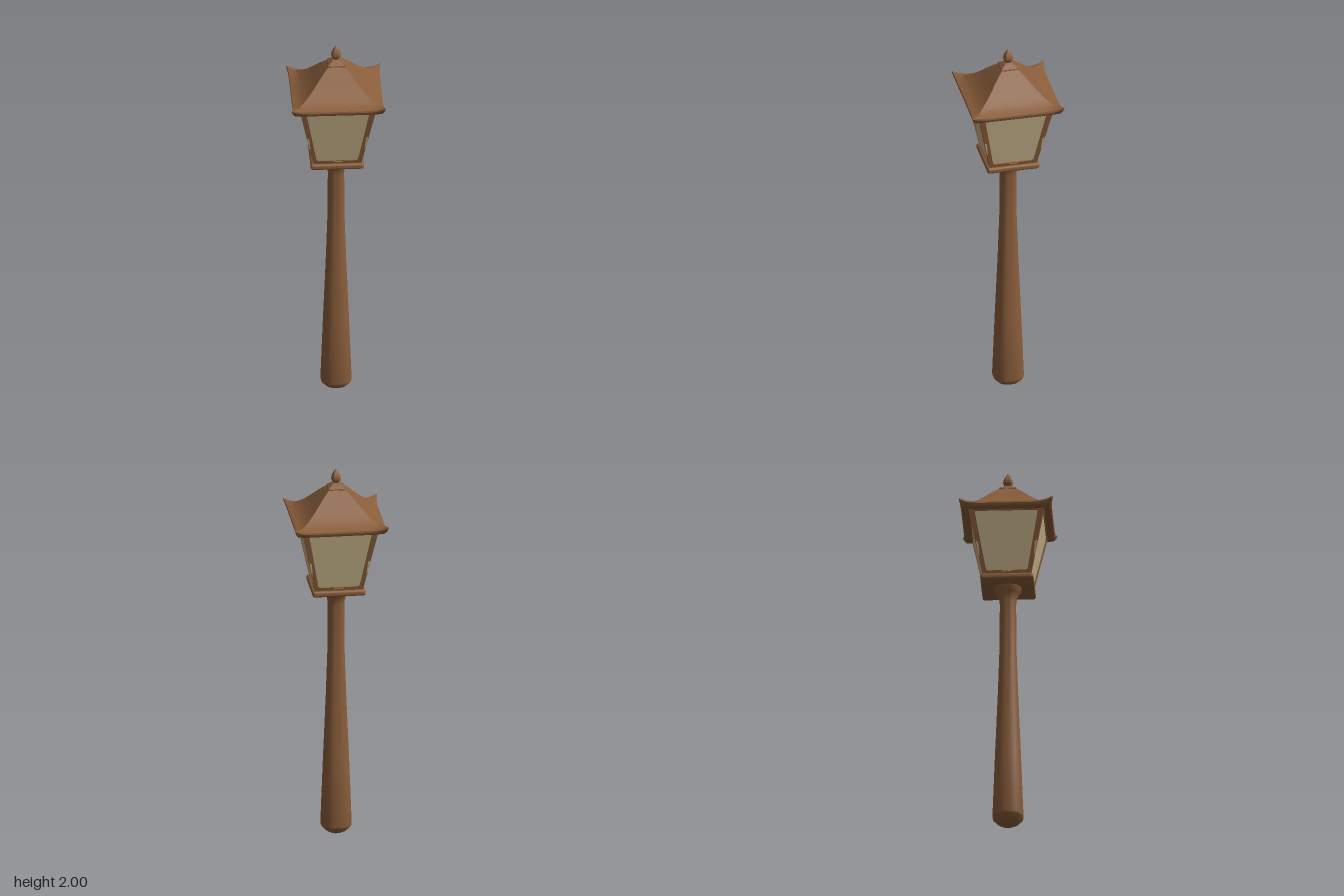
import * as THREE from 'three';
import { toCreasedNormals } from 'three/addons/utils/BufferGeometryUtils.js';
import { RoundedBoxGeometry } from 'three/addons/geometries/RoundedBoxGeometry.js';

const wood = new THREE.MeshStandardMaterial({ color: 0x8b5e3b });
wood.name = 'brownWood';
const glass = new THREE.MeshStandardMaterial({ color: 0xcab68c });
glass.name = 'paleGlass';

// Skin a stack of closed rings (bottom to top, each counter-clockwise from +z to +x)
function loft(rings, crease) {
  const pos = [], index = [], n = rings[0].length;
  rings.forEach(ring => ring.forEach(p => pos.push(...p)));
  for (let i = 0; i < rings.length - 1; i++) {
    for (let j = 0; j < n; j++) {
      const a = i * n + j, b = i * n + (j + 1) % n;
      index.push(a, b, b + n, a, b + n, a + n);
    }
  }
  const g = new THREE.BufferGeometry();
  g.setAttribute('position', new THREE.Float32BufferAttribute(pos, 3));
  g.setIndex(index);
  return toCreasedNormals(g, crease);
}

// Softly squared ring for the post
function softRing(r, y, n = 32) {
  return Array.from({ length: n }, (_, i) => {
    const a = i / n * Math.PI * 2, s = Math.sin(a), c = Math.cos(a);
    const k = r / Math.pow(Math.abs(s) ** 2.5 + Math.abs(c) ** 2.5, 1 / 2.5);
    return [s * k, y, c * k];
  });
}

// Square ring whose corners can lift and reach out
function squareRing(h, y, lift = 0, reach = 0, seg = 16) {
  const ring = [];
  for (let side = 0; side < 4; side++) {
    const c = Math.round(Math.cos(side * Math.PI / 2)), s = Math.round(Math.sin(side * Math.PI / 2));
    for (let i = 0; i < seg; i++) {
      const t = -1 + 2 * i / seg, k = Math.abs(t) ** 8;
      const x = t * (h + reach * k), z = h + reach * k;
      ring.push([x * c + z * s, y + lift * k, z * c - x * s]);
    }
  }
  return ring;
}

function shapeOf(points) {
  return new THREE.Shape(points.map(([x, y]) => new THREE.Vector2(x, y)));
}

export function createModel() {
  const model = new THREE.Group();
  const add = (name, geometry, material = wood, parent = model) => {
    const mesh = new THREE.Mesh(geometry, material);
    mesh.name = name;
    parent.add(mesh);
    return mesh;
  };

  // Tapered post with rounded foot and flared neck
  const postProfile = [
    [0, 0], [0.03, 0.005], [0.055, 0.02], [0.078, 0.045], [0.08, 0.055], [0.067, 0.4],
    [0.052, 0.76], [0.044, 1.0], [0.042, 1.26], [0.046, 1.29], [0.055, 1.315], [0.068, 1.335], [0.07, 1.35],
  ];
  add('post', loft(postProfile.map(([r, y]) => softRing(r, y)), 0.6));

  // Lantern base
  const plate = add('basePlate', new RoundedBoxGeometry(0.275, 0.032, 0.275, 3, 0.012));
  plate.position.y = 1.361;
  const sill = add('baseSill', new RoundedBoxGeometry(0.25, 0.025, 0.25, 2, 0.006));
  sill.position.y = 1.38;

  // Four leaning window frames, each with a rounded opening
  const low = 0.125, high = 0.196, y0 = 1.38, y1 = 1.72;
  const tilt = Math.atan2(high - low, y1 - y0), slant = Math.hypot(high - low, y1 - y0);
  const frame = shapeOf([[-low, 0], [low, 0], [high, slant], [-high, slant]]);
  const hole = new THREE.Path();
  hole.moveTo(-0.095, 0.016);
  hole.lineTo(0.095, 0.016);
  hole.quadraticCurveTo(0.106, 0.016, 0.109, 0.03);
  hole.lineTo(0.161, 0.32);
  hole.quadraticCurveTo(0.162, 0.332, 0.152, 0.332);
  hole.lineTo(-0.152, 0.332);
  hole.quadraticCurveTo(-0.162, 0.332, -0.161, 0.32);
  hole.lineTo(-0.109, 0.03);
  hole.quadraticCurveTo(-0.106, 0.016, -0.095, 0.016);
  frame.holes.push(hole);
  const frameGeo = new THREE.ExtrudeGeometry(frame, { depth: 0.016, bevelEnabled: false, curveSegments: 5 });
  frameGeo.translate(0, 0, -0.016);
  const paneGeo = new THREE.ShapeGeometry(
    shapeOf([[-0.115, 0.01], [0.115, 0.01], [0.175, 0.338], [-0.175, 0.338]]));
  paneGeo.translate(0, 0, -0.005);
  // Small slips of glass showing on the frame
  const slips = [-1, 1].map(s => {
    const pts = [[0.139, 0.09], [0.146, 0.105], [0.158, 0.175], [0.146, 0.165]].map(([x, y]) => [x * s, y]);
    return shapeOf(pts);
  });
  slips.push(shapeOf([[-0.025, 0.009], [0.025, 0.009], [0.022, 0.014], [-0.022, 0.014]]));
  const slipGeo = new THREE.ShapeGeometry(slips);
  slipGeo.translate(0, 0, 0.0015);

  for (let i = 0; i < 4; i++) {
    const side = new THREE.Group();
    side.name = 'windowSide' + (i + 1);
    side.rotation.y = i * Math.PI / 2;
    const panel = new THREE.Group();
    panel.name = 'windowPanel';
    panel.position.set(0, y0, low);
    panel.rotation.x = tilt;
    side.add(panel);
    add('windowFrame', frameGeo, wood, panel);
    add('windowPane', paneGeo, glass, panel);
    add('glassSlips', slipGeo, glass, panel);
    model.add(side);
  }

  // Sweeping roof: flat underside, thin eave, upturned corners
  add('roof', loft([
    squareRing(0, 1.712), squareRing(0.222, 1.712, 0.004, 0.002), squareRing(0.23, 1.718, 0.014, 0.005),
    squareRing(0.234, 1.73, 0.022, 0.009), squareRing(0.232, 1.739, 0.02, 0.009),
    squareRing(0.222, 1.743, 0.01, 0.003), squareRing(0.2, 1.75), squareRing(0.175, 1.766),
    squareRing(0.145, 1.79), squareRing(0.11, 1.827), squareRing(0.075, 1.866), squareRing(0.038, 1.902),
    squareRing(0, 1.905),
  ], 0.5));

  // Stepped cap and bud finial
  add('roofCap', loft([
    [0, 1.893], [0.042, 1.893], [0.045, 1.898], [0.043, 1.904], [0.025, 1.918], [0.013, 1.926], [0, 1.927],
  ].map(([h, y]) => squareRing(h, y, 0, 0, 2)), 0.5));
  add('finial', loft([
    [0.013, 1.92], [0.014, 1.927], [0.022, 1.938], [0.025, 1.95], [0.022, 1.965], [0.013, 1.983], [0.005, 1.996], [0, 2],
  ].map(([r, y]) => softRing(r, y, 16)), 0.9));

  return model;
}
